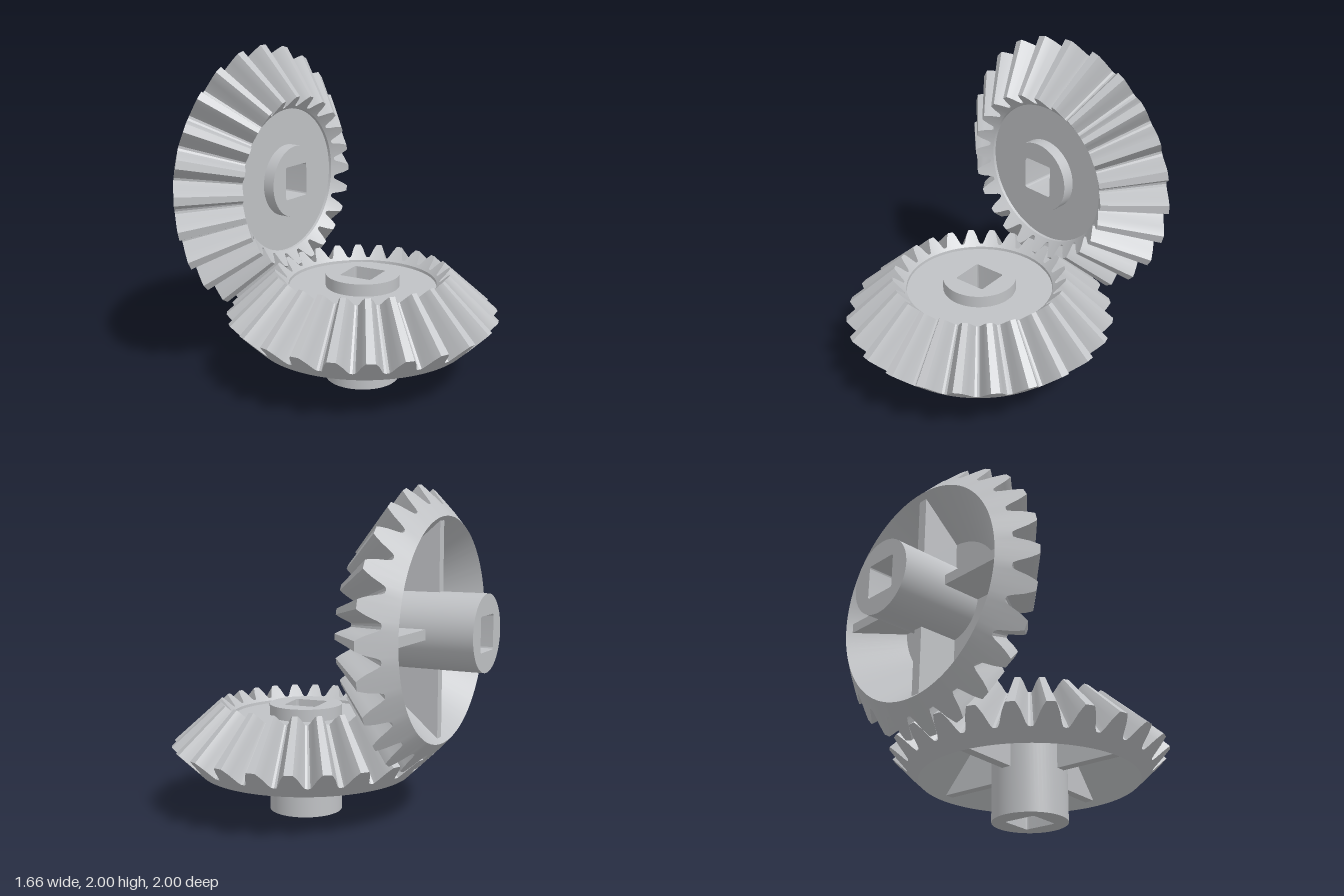
import * as THREE from 'three';
import { toCreasedNormals } from 'three/addons/utils/BufferGeometryUtils.js';

const TEETH = 24;
const APEX = 1.17;        // height where the pitch cones of both gears meet
const INNER_SCALE = 0.64; // inner end of a tooth relative to its outer end

// One tooth pitch: [angle in degrees, radius at the outer end]
const half = [[-7.5, 0.726], [-6.3, 0.729], [-5.4, 0.744], [-3.75, 0.79], [-2.6, 0.815], [-1.8, 0.83]];
const pitch = [...half, ...half.slice(1).reverse().map(([a, r]) => [-a, r])];

// Toothed crown, web plate and hollow back, as radial cross-sections around the axis
function crownGeometry() {
  const sections = [];
  for (let t = 0; t < TEETH; t++) {
    for (const [deg, r] of pitch) {
      const a = THREE.MathUtils.degToRad(deg + t * 360 / TEETH);
      const y = r - 0.41; // back cone at 45 degrees
      const path = [
        [0.2, 0.53], [0.415, 0.53], [0.655, 0.25],                  // hollow back
        [r, y],                                                     // outer tooth end
        [r * INNER_SCALE, APEX - (APEX - y) * INNER_SCALE],         // inner tooth end
        [0.45, 0.609], [0.448, 0.592], [0.2, 0.592],                // recessed face
      ];
      sections.push(path.map(([pr, py]) => [pr * Math.sin(a), py, pr * Math.cos(a)]));
    }
  }
  const rows = sections[0].length;
  const index = [];
  sections.forEach((_, i) => {
    const b = i * rows, n = ((i + 1) % sections.length) * rows;
    for (let j = 0; j < rows - 1; j++) {
      index.push(b + j, n + j, n + j + 1, b + j, n + j + 1, b + j + 1);
    }
  });
  const g = new THREE.BufferGeometry();
  g.setAttribute('position', new THREE.Float32BufferAttribute(sections.flat(2), 3));
  g.setIndex(index);
  return toCreasedNormals(g, 0.5);
}

// Round hub with a square bore that has slightly rounded corners
function hubGeometry() {
  const s = new THREE.Shape().absarc(0, 0, 0.225, 0, Math.PI * 2);
  const h = 0.103, c = 0.015;
  const bore = new THREE.Path();
  bore.moveTo(-h + c, -h);
  bore.lineTo(h - c, -h).quadraticCurveTo(h, -h, h, -h + c);
  bore.lineTo(h, h - c).quadraticCurveTo(h, h, h - c, h);
  bore.lineTo(-h + c, h).quadraticCurveTo(-h, h, -h, h - c);
  bore.lineTo(-h, -h + c).quadraticCurveTo(-h, -h, -h + c, -h);
  s.holes.push(bore);
  const g = new THREE.ExtrudeGeometry(s, { depth: 0.667, bevelEnabled: false, curveSegments: 32 });
  g.rotateX(-Math.PI / 2);
  return toCreasedNormals(g, 0.5);
}

// Stiffening rib between hub and rim
function ribGeometry() {
  const w = 0.06;
  const s = new THREE.Shape([[0.21, 0.28], [0.645, 0.28], [0.43, 0.545], [0.21, 0.545]]
    .map(([x, y]) => new THREE.Vector2(x, y)));
  const g = new THREE.ExtrudeGeometry(s, { depth: w, bevelEnabled: false });
  g.translate(0, 0, -w / 2);
  return g;
}

export function createModel() {
  const steel = new THREE.MeshStandardMaterial({ color: 0xc0c2c5 });
  steel.name = 'light grey metal';
  const crown = crownGeometry(), hub = hubGeometry(), rib = ribGeometry();

  function makeGear(name) {
    const gear = new THREE.Group();
    gear.name = name;
    const add = (geometry, partName) => {
      const m = new THREE.Mesh(geometry, steel);
      m.name = partName;
      gear.add(m);
      return m;
    };
    add(crown, 'toothedCrown');
    add(hub, 'hub');
    for (let i = 0; i < 4; i++) add(rib, 'rib' + (i + 1)).rotation.y = i * Math.PI / 2;
    return gear;
  }

  const model = new THREE.Group();
  model.name = 'bevelGearPair';

  // Lower gear is turned half a tooth so that the pair meshes
  const lower = makeGear('lowerGear');
  lower.position.set(0, 0, 0.17);
  lower.rotation.y = Math.PI / TEETH;

  // Upright gear faces the front
  const upright = makeGear('uprightGear');
  upright.position.set(0, APEX, -1);
  upright.rotation.x = Math.PI / 2;

  model.add(lower, upright);
  return model;
}
